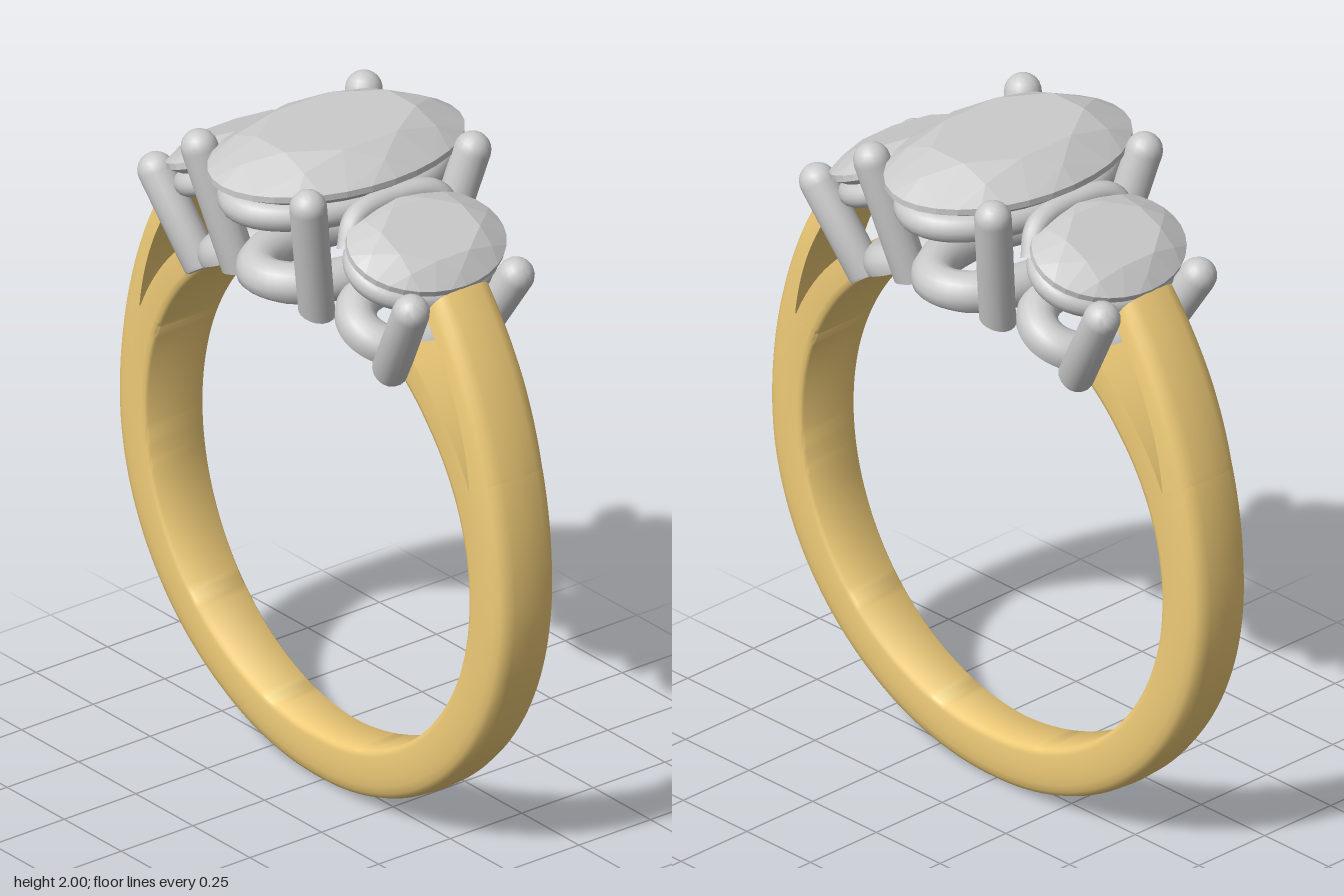
import * as THREE from 'three';
import { toCreasedNormals } from 'three/addons/utils/BufferGeometryUtils.js';
import { ConvexGeometry } from 'three/addons/geometries/ConvexGeometry.js';

const CY = 0.86;        // height of the finger hole's centre
const R_IN = 0.705;     // finger hole radius
const rad = THREE.MathUtils.degToRad;
const lerp = THREE.MathUtils.lerp;

const gold = new THREE.MeshStandardMaterial({ color: 0xf0cc78 });
const silver = new THREE.MeshStandardMaterial({ color: 0xcccccc });
const gem = new THREE.MeshStandardMaterial({ color: 0xcccccc, flatShading: true });

function add(parent, name, geometry, material) {
  const mesh = new THREE.Mesh(geometry, material);
  mesh.name = name;
  parent.add(mesh);
  return mesh;
}

// Band radii and half-width by angle (degrees above the horizontal, right half)
const TIP = 24.5;   // where the slot begins
const TOP = 56.5;   // where the arms end
const innerR = () => R_IN;
const outerR = (a) => 0.855 + (a > 0 ? 0.163 * (a / 56) ** 2 : 0);
const slotInner = () => 0.79;
const slotOuter = (a) => 0.793 + 0.145 * (a - TIP) / 31.5;
const halfWidth = (a) => lerp(0.075, 0.117, Math.min(1, (a + 90) / 130));
const armWidth = (a) => halfWidth(a) * lerp(1, 0.9, (a - TIP) / 32);

// Sweeps a softened section between two radii; section points are [radial, sideways]
function bandSweep(inner, outer, width, a0, a1, steps, section) {
  const pos = [], index = [], n = section.length;
  for (let i = 0; i <= steps; i++) {
    const a = lerp(a0, a1, i / steps);
    // angles past the bottom mirror onto the right half
    const m = a < -90 ? -180 - a : a;
    const c = Math.cos(rad(a)), s = Math.sin(rad(a));
    for (const [u, v] of section) {
      const r = lerp(inner(m), outer(m), u);
      pos.push(r * c, CY + r * s, v * width(m));
    }
  }
  for (let i = 0; i < steps; i++) {
    for (let j = 0; j < n; j++) {
      const p = i * n + j, q = i * n + (j + 1) % n;
      index.push(p, p + n, q, q, p + n, q + n);
    }
  }
  const e = steps * n;
  for (let j = 1; j < n - 1; j++) index.push(0, j, j + 1, e, e + j + 1, e + j);
  const g = new THREE.BufferGeometry();
  g.setAttribute('position', new THREE.Float32BufferAttribute(pos, 3));
  g.setIndex(index);
  return toCreasedNormals(g, rad(55));
}

// Half sections, mirrored sideways into closed loops
const closeSection = (half) => [...half, ...half.slice().reverse().filter((p) => p[1] !== 0).map(([u, v]) => [u, -v])];
const domed = closeSection([[0, -0.9], [0.04, -0.97], [0.12, -1], [0.5, -0.99], [0.7, -0.95], [0.84, -0.88], [0.93, -0.76], [0.98, -0.52], [1, 0]]);
const flat = closeSection([[0, -0.9], [0.08, -0.97], [0.25, -1], [1, -0.99]]);
const armDome = closeSection([[0, -0.99], [0.4, -0.95], [0.68, -0.88], [0.86, -0.76], [0.96, -0.52], [1, 0]]);

// Keeps metal out of the finger hole by pushing vertices onto its wall
function trimToFinger(g) {
  const p = g.attributes.position;
  for (let i = 0; i < p.count; i++) {
    const x = p.getX(i), y = p.getY(i) - CY, r = Math.hypot(x, y);
    if (r < R_IN) p.setXY(i, x * R_IN / r, CY + y * R_IN / r);
  }
  return toCreasedNormals(g, rad(50));
}

// Oval wire rail, lying flat and then tilted about z
function rail(x, y, tilt, rx, rz, tube) {
  const pts = Array.from({ length: 32 }, (_, i) => {
    const t = i / 32 * Math.PI * 2;
    return new THREE.Vector3(rx * Math.cos(t), 0, rz * Math.sin(t));
  });
  const g = new THREE.TubeGeometry(new THREE.CatmullRomCurve3(pts, true), 64, tube, 16, true);
  g.rotateZ(tilt).translate(x, y, 0);
  return trimToFinger(g);
}

// Round-ended claw from foot to tip
function claw(foot, tip, radius) {
  const a = new THREE.Vector3(...foot), b = new THREE.Vector3(...tip);
  const d = b.clone().sub(a);
  const g = new THREE.CapsuleGeometry(radius, d.length(), 6, 18);
  g.applyQuaternion(new THREE.Quaternion().setFromUnitVectors(new THREE.Vector3(0, 1, 0), d.normalize()));
  const c = a.add(b).multiplyScalar(0.5);
  return trimToFinger(g.translate(c.x, c.y, c.z));
}

// Raised bar between a side stone and the centre stone
function raisedBar(sx) {
  const path = [[0.285, 1.77, 0.185], [0.258, 1.845, 0.14], [0.243, 1.862, 0], [0.258, 1.845, -0.14], [0.285, 1.77, -0.185]];
  const curve = new THREE.CatmullRomCurve3(path.map(([x, y, z]) => new THREE.Vector3(sx * x, y, z)));
  return new THREE.TubeGeometry(curve, 32, 0.033, 14);
}

// Oval brilliant cut with its girdle at y = 0
function stone(rx, rz, crown, pavilion) {
  const pts = [new THREE.Vector3(0, -pavilion, 0)];
  const ring = (n, r, y, offset) => {
    for (let i = 0; i < n; i++) {
      const t = (i + offset) / n * Math.PI * 2;
      pts.push(new THREE.Vector3(r * rx * Math.cos(t), y, r * rz * Math.sin(t)));
    }
  };
  ring(8, 0.62, crown, 0.5);
  ring(8, 0.82, crown * 0.62, 0);
  ring(32, 1, 0.006, 0);
  ring(32, 1, -0.012, 0);
  ring(8, 0.5, -pavilion * 0.56, 0.5);
  return new ConvexGeometry(pts);
}

export function createModel() {
  const model = new THREE.Group();
  model.name = 'threeStoneRing';

  // Band: solid lower part, then split arms rising on both sides
  const band = new THREE.Group();
  band.name = 'band';
  model.add(band);
  add(band, 'shank', bandSweep(innerR, outerR, halfWidth, -180 - TIP, TIP, 120, domed), gold);
  for (const side of [1, -1]) {
    const span = side > 0 ? [TIP, TOP] : [-180 - TOP, -180 - TIP];
    const name = side > 0 ? 'left' : 'right';
    add(band, name + 'OuterArm', bandSweep(slotOuter, outerR, armWidth, ...span, 24, armDome), gold);
    add(band, name + 'InnerArm', bandSweep(innerR, slotInner, halfWidth, ...span, 24, flat), gold);
  }

  // Centre setting
  const centre = new THREE.Group();
  centre.name = 'centreSetting';
  model.add(centre);
  add(centre, 'centreStone', stone(0.262, 0.4, 0.08, 0.19), gem).position.y = 1.92;
  add(centre, 'centreUpperRail', rail(0, 1.835, 0, 0.19, 0.33, 0.042), silver);
  add(centre, 'centreLowerRail', rail(0, 1.6, 0, 0.145, 0.25, 0.06), silver);
  for (const sx of [1, -1]) {
    for (const sz of [1, -1]) {
      add(centre, 'centreClaw', claw([sx * 0.165, 1.54, sz * 0.2], [sx * 0.238, 1.917, sz * 0.287], 0.052), silver);
    }
  }

  // Side settings, leaning outward
  for (const sx of [1, -1]) {
    const setting = new THREE.Group();
    setting.name = sx > 0 ? 'leftSetting' : 'rightSetting';
    model.add(setting);
    const tilt = -sx * rad(23);
    const s = add(setting, 'sideStone', stone(0.185, 0.245, 0.05, 0.15), gem);
    s.position.set(sx * 0.395, 1.785, 0);
    s.rotation.z = tilt;
    add(setting, 'sideUpperRail', rail(sx * 0.37, 1.725, tilt, 0.145, 0.2, 0.036), silver);
    add(setting, 'sideRaisedBar', raisedBar(sx), silver);
    add(setting, 'sideLowerRail', rail(sx * 0.3, 1.525, -sx * rad(26), 0.115, 0.15, 0.058), silver);
    for (const sz of [1, -1]) {
      add(setting, 'sideClaw', claw([sx * 0.415, 1.45, sz * 0.14], [sx * 0.558, 1.69, sz * 0.183], 0.052), silver);
    }
  }
  return model;
}
